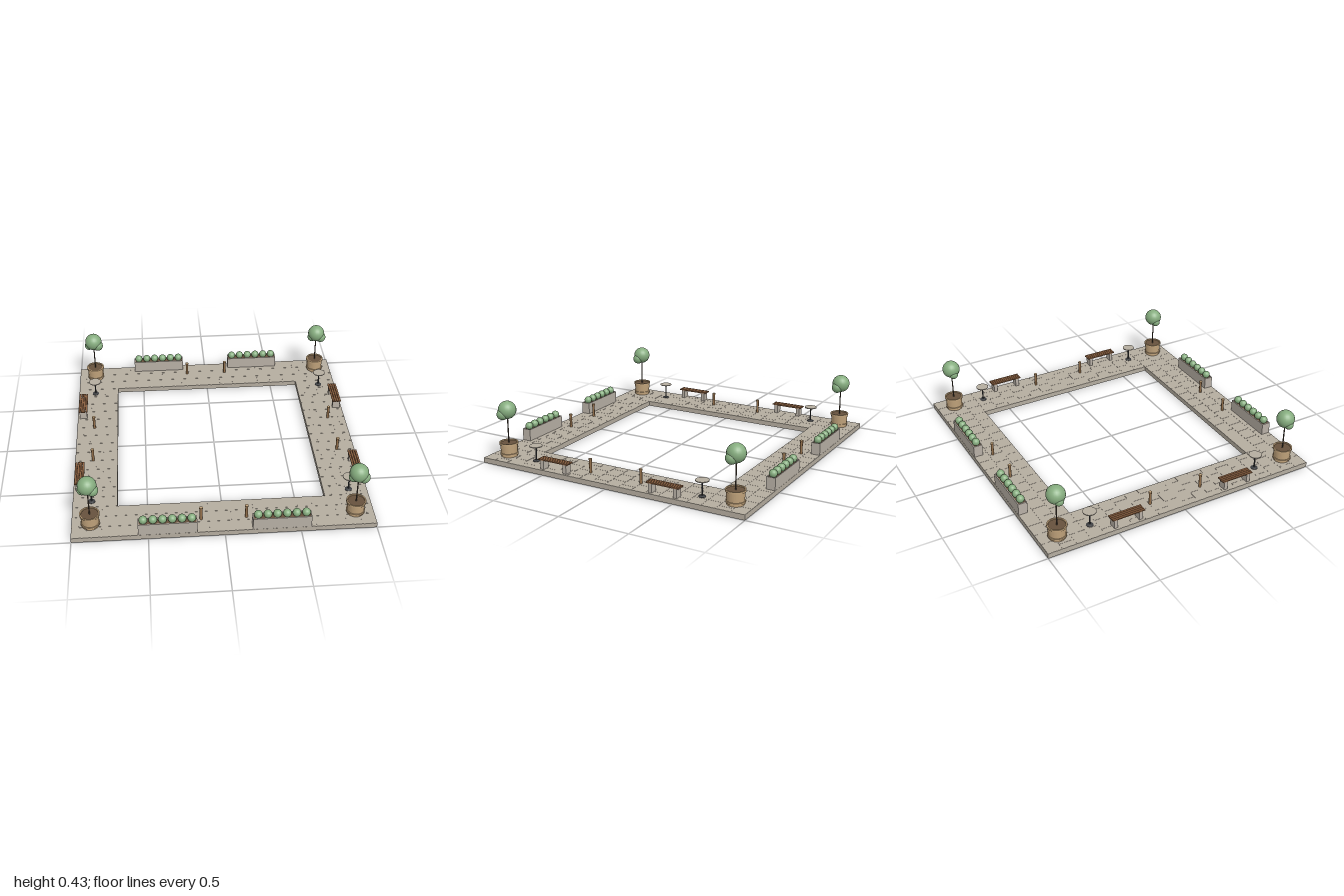
import * as THREE from 'three';
import { mergeGeometries } from 'three/addons/utils/BufferGeometryUtils.js';

const mat = (name, color) => {
  const m = new THREE.MeshStandardMaterial({ color });
  m.name = name;
  return m;
};

const DECK = 0.036;   // walking surface height
const HALF = 1;       // outer half width
const INNER = 0.7;    // half width of the opening

export function createModel() {
  const paving = mat('paving stone', 0xb5ada0);
  const underside = mat('concrete underside', 0xcecdcb);
  const planterStone = mat('planter stone', 0xb8b0a6);
  const clay = mat('pot clay', 0xc2a47c);
  const soil = mat('soil', 0x67523d);
  const leaf = mat('leaves', 0x86ad7f);
  const bark = mat('bark', 0x51453a);
  const wood = mat('bench wood', 0x8a6040);
  const post = mat('bollard wood', 0x916e4a);
  const iron = mat('dark iron', 0x3d3f42);

  const model = new THREE.Group();
  model.name = 'courtyardWalk';

  const add = (parent, name, geo, material, x = 0, y = 0, z = 0) => {
    const mesh = new THREE.Mesh(geo, material);
    mesh.name = name;
    mesh.position.set(x, y, z);
    parent.add(mesh);
    return mesh;
  };
  const group = (name, x, z) => {
    const g = new THREE.Group();
    g.name = name;
    g.position.set(x, DECK, z);
    model.add(g);
    return g;
  };
  const lathe = (points, segments = 28) =>
    new THREE.LatheGeometry(points.map(([r, y]) => new THREE.Vector2(r, y)), segments);

  // Square ring slab with a thin concrete layer below
  const ring = (depth) => {
    const s = new THREE.Shape();
    s.moveTo(-HALF, -HALF).lineTo(HALF, -HALF).lineTo(HALF, HALF).lineTo(-HALF, HALF).closePath();
    const h = new THREE.Path();
    h.moveTo(-INNER, -INNER).lineTo(-INNER, INNER).lineTo(INNER, INNER).lineTo(INNER, -INNER).closePath();
    s.holes.push(h);
    return new THREE.ExtrudeGeometry(s, { depth, bevelEnabled: false }).rotateX(-Math.PI / 2);
  };
  add(model, 'slabUnderside', ring(0.002), underside);
  add(model, 'slab', ring(0.033), paving, 0, 0.002);

  // Running-bond pavers over the four strips of the ring
  const tiles = [];
  const SIZE = 0.1, gap = 0.0015;
  const pave = (x0, x1, z0, z1) => {
    const rows = Math.round((z1 - z0) / SIZE);
    for (let r = 0; r < rows; r++) {
      for (let x = x0 - (r % 2) * SIZE / 2; x < x1 - 0.001; x += SIZE) {
        const a = Math.max(x, x0), b = Math.min(x + SIZE, x1);
        tiles.push(new THREE.BoxGeometry(b - a - gap, 0.001, SIZE - gap)
          .translate((a + b) / 2, DECK - 0.0005, z0 + (r + 0.5) * SIZE));
      }
    }
  };
  pave(-HALF, HALF, INNER, HALF);
  pave(-HALF, HALF, -HALF, -INNER);
  pave(INNER, HALF, -INNER, INNER);
  pave(-HALF, -INNER, -INNER, INNER);
  add(model, 'pavers', mergeGeometries(tiles), paving);

  // Hooped pot profile, unwelded so its rings stay sharp
  const pot = lathe([[0, 0], [0.056, 0], [0.057, 0.012], [0.0625, 0.013], [0.0625, 0.025],
    [0.057, 0.026], [0.061, 0.086], [0.066, 0.087], [0.066, 0.1], [0.057, 0.1], [0.056, 0.09]], 40).toNonIndexed();
  pot.computeVertexNormals();

  // Potted tree: pot, trunk and three leafy balls
  const potTree = (x, z) => {
    const g = group('pottedTree', x, z);
    add(g, 'pot', pot, clay);
    add(g, 'potSoil', new THREE.CylinderGeometry(0.057, 0.057, 0.004, 28), soil, 0, 0.091);
    add(g, 'trunk', new THREE.CylinderGeometry(0.004, 0.0045, 0.2, 10), bark, 0, 0.19);
    const crown = [[0, 0.33, 0, 0.063], [0.032, 0.304, 0.016, 0.04], [-0.034, 0.3, 0.004, 0.033]];
    for (const [cx, cy, cz, r] of crown) {
      add(g, 'crown', new THREE.SphereGeometry(r, 22, 16), leaf, cx, cy, cz);
    }
  };

  // Round café table on a pedestal
  const table = (x, z) => {
    const g = group('table', x, z);
    add(g, 'tableTop', new THREE.CylinderGeometry(0.045, 0.045, 0.006, 28), paving, 0, 0.109);
    add(g, 'tablePole', new THREE.CylinderGeometry(0.005, 0.005, 0.104, 10), iron, 0, 0.054);
    add(g, 'tableFoot', lathe([[0.024, 0], [0.024, 0.004], [0.005, 0.009]], 20), iron);
  };

  // Slatted bench running along z on two stone legs
  const bench = (x, z) => {
    const g = group('bench', x, z);
    for (let i = 0; i < 4; i++) {
      add(g, 'slat', new THREE.BoxGeometry(0.0135, 0.008, 0.237), wood, (i - 1.5) * 0.0165, 0.068);
    }
    for (const s of [-1, 1]) {
      add(g, 'leg', new THREE.BoxGeometry(0.054, 0.064, 0.026), planterStone, 0, 0.032, s * 0.091);
    }
    add(g, 'seatFrame', new THREE.BoxGeometry(0.046, 0.004, 0.15), wood, 0, 0.062);
  };

  // Bollard with a slightly wider cap and a pale top
  const bollard = (x, z) => {
    const g = group('bollard', x, z);
    add(g, 'post', new THREE.CylinderGeometry(0.0095, 0.0095, 0.09, 14), post, 0, 0.045);
    add(g, 'postCap', new THREE.CylinderGeometry(0.012, 0.012, 0.008, 14), post, 0, 0.093);
    add(g, 'postTop', new THREE.CylinderGeometry(0.012, 0.012, 0.002, 14), clay, 0, 0.098);
  };

  // Long stone trough with a row of six clipped shrubs
  const trough = (x, z) => {
    const g = group('hedgePlanter', x, z);
    const w = 0.385, d = 0.064, h = 0.085, t = 0.006;
    for (const s of [-1, 1]) {
      add(g, 'longWall', new THREE.BoxGeometry(w, h, t), planterStone, 0, h / 2, s * (d - t) / 2);
      add(g, 'endWall', new THREE.BoxGeometry(t, h, d - 2 * t), planterStone, s * (w - t) / 2, h / 2);
    }
    add(g, 'troughSoil', new THREE.BoxGeometry(w - 2 * t, h - 0.005, d - 2 * t), soil, 0, (h - 0.005) / 2);
    for (let i = 0; i < 6; i++) {
      add(g, 'shrub', new THREE.SphereGeometry(0.028, 18, 12), leaf, (i - 2.5) * 0.063, 0.1);
    }
  };

  // Furnish all four quadrants
  for (const sx of [-1, 1]) {
    for (const sz of [-1, 1]) {
      potTree(sx * 0.875, sz * 0.875);
      table(sx * 0.873, sz * 0.643);
      bench(sx * 0.957, sz * 0.42);
      trough(sx * 0.373, sz * 0.967);
      bollard(sx * 0.15, sz * 0.873);
      bollard(sx * 0.873, sz * 0.195);
    }
  }
  return model;
}
